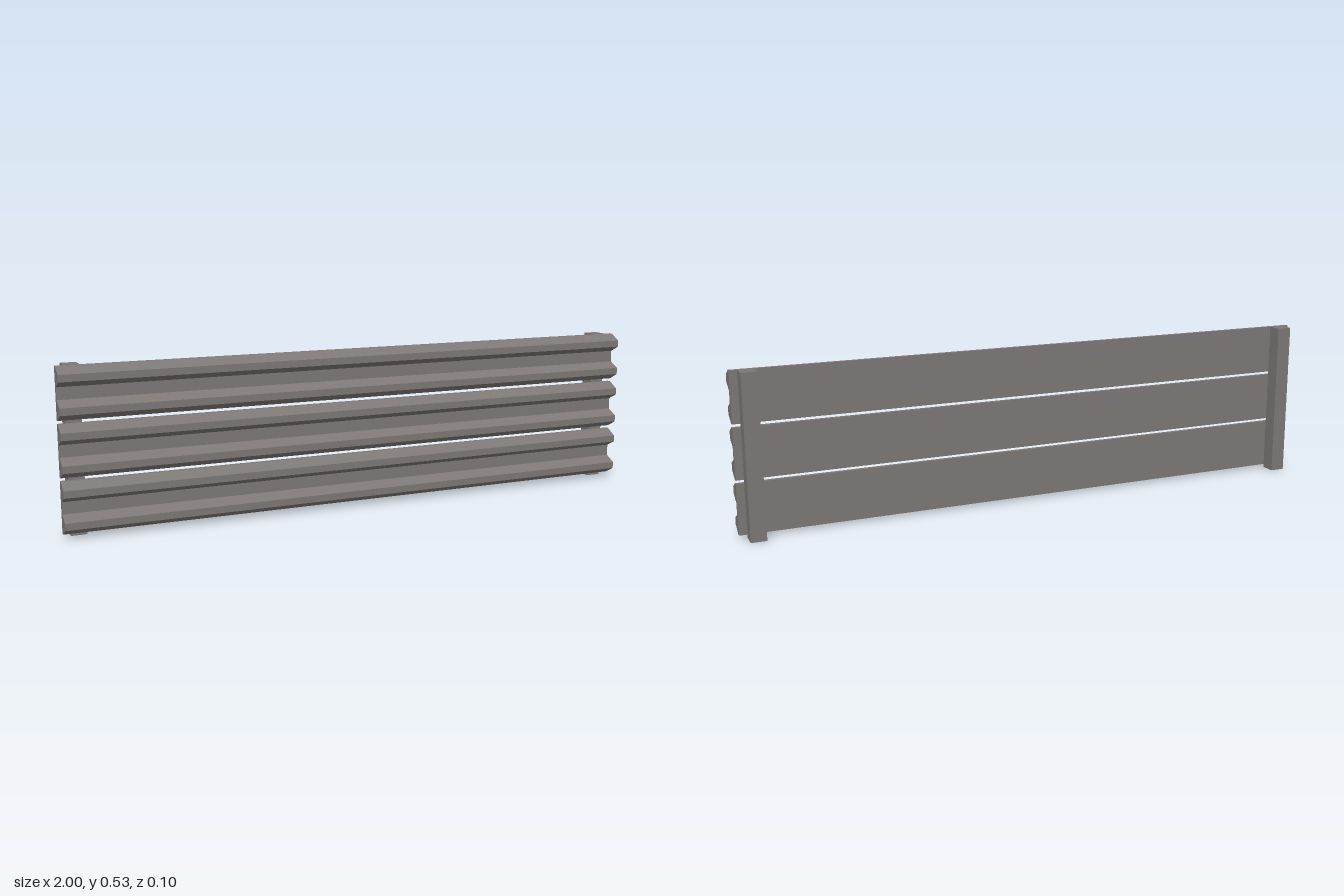
import * as THREE from 'three';

export function createModel() {
  const group = new THREE.Group();
  const material = new THREE.MeshStandardMaterial({ color: 0x7d7876, flatShading: true });

  // Ribbed plank cross-section: [depth towards the front, height]
  const profile = [
    [0, 0], [0.014, 0], [0.052, 0.021], [0.052, 0.0435], [0.014, 0.063],
    [0.014, 0.1015], [0.052, 0.121], [0.052, 0.1435], [0.014, 0.1645], [0, 0.1645],
  ].map(([d, h]) => new THREE.Vector2(d, h));

  // Extrude along the width, turned so the ribs face +z
  const plankGeometry = new THREE.ExtrudeGeometry(new THREE.Shape(profile), {
    depth: 2, bevelEnabled: false,
  });
  plankGeometry.rotateY(-Math.PI / 2).translate(1, 0, 0);

  // Three planks with narrow gaps between them
  ['lowerPlank', 'middlePlank', 'upperPlank'].forEach((name, i) => {
    const plank = new THREE.Mesh(plankGeometry, material);
    plank.name = name;
    plank.position.y = 0.011 + i * 0.1755;
    group.add(plank);
  });

  // Upright battens behind both ends
  const battenGeometry = new THREE.BoxGeometry(0.05, 0.527, 0.051);
  for (const side of [-1, 1]) {
    const batten = new THREE.Mesh(battenGeometry, material);
    batten.name = side > 0 ? 'leftBatten' : 'rightBatten';
    batten.position.set(side * 0.95, 0.2635, -0.0255);
    group.add(batten);
  }

  return group;
}
